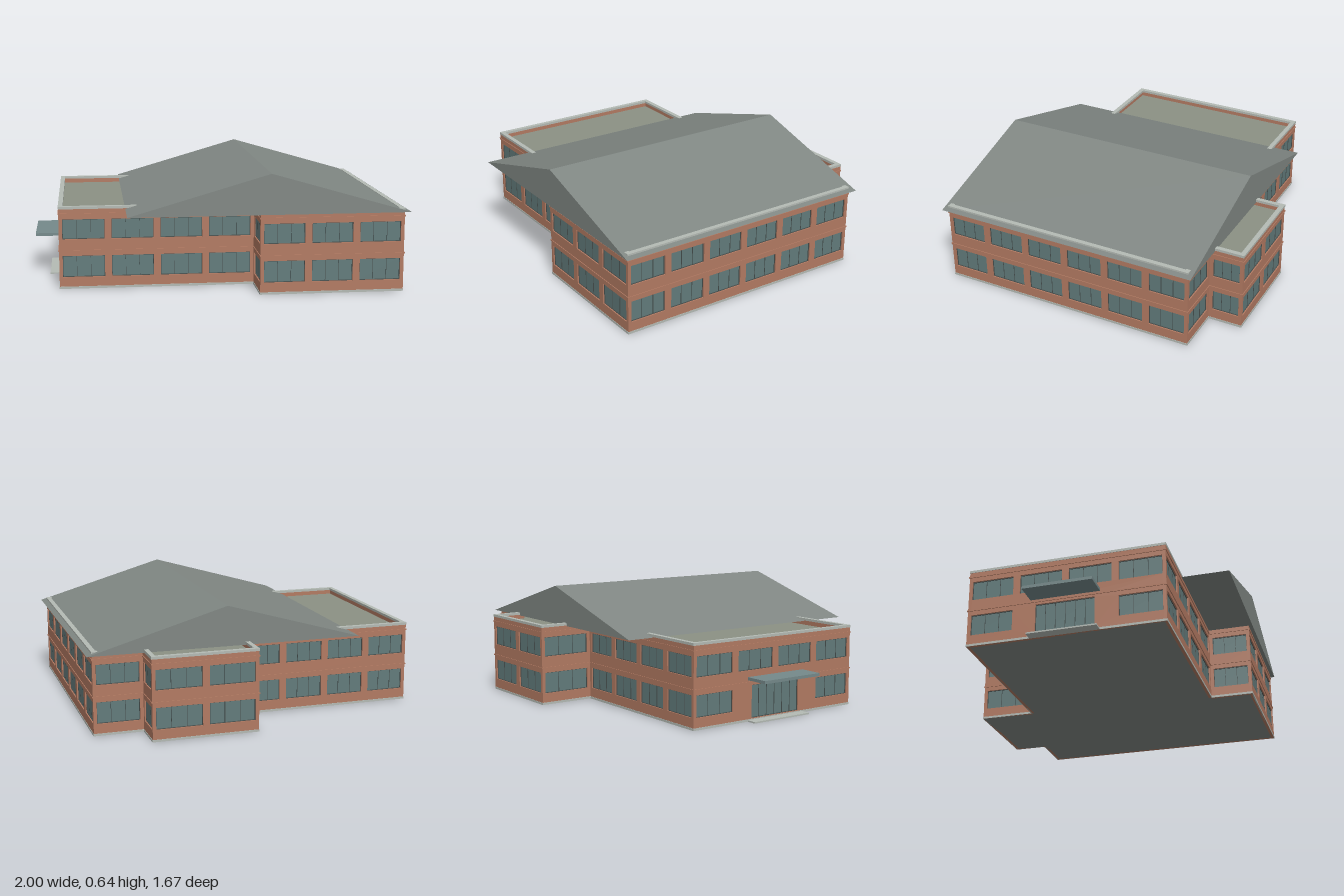
import * as THREE from 'three';

const material = (color) => new THREE.MeshStandardMaterial({ color });
const brick = material(0xb27a62);
const glass = material(0x627b7b);
const frame = material(0x47504f);
const trim = material(0xb4bab4);
const roofing = material(0x808783);
const deck = material(0x8b9184);
const canopyMetal = material(0x75898a);

// Footprint corners (x, z), walked with the outside on the right
const footprint = [
  [-0.86, 0.537], [0.18, 0.537], [0.18, 0.773], [0.942, 0.773], [0.942, -0.655],
  [0.679, -0.655], [0.679, -0.84], [0.114, -0.84], [0.114, -0.533], [-0.86, -0.533],
];

const WALL_TOP = 0.43;
const THICK = 0.016;
const RECESS = 0.011;
const FLOORS = [[0.063, 0.178], [0.268, 0.375]];

function edge(i) {
  const n = footprint.length;
  const a = footprint[(i + n) % n];
  const b = footprint[(i + 1) % n];
  const dx = b[0] - a[0], dz = b[1] - a[1];
  const length = Math.hypot(dx, dz);
  return { a, b, length, nx: -dz / length, nz: dx / length };
}

// Footprint pushed outward by d, as points for a shape lying on the ground
function outline(d) {
  return footprint.map(([x, z], i) => {
    const p = edge(i - 1), q = edge(i);
    return new THREE.Vector2(x + d * (p.nx + q.nx), -(z + d * (p.nz + q.nz)));
  });
}

function addMesh(parent, name, geometry, mat) {
  const mesh = new THREE.Mesh(geometry, mat);
  mesh.name = name;
  parent.add(mesh);
  return mesh;
}

function addBox(parent, name, mat, x0, x1, y0, y1, z0, z1) {
  const mesh = addMesh(parent, name, new THREE.BoxGeometry(x1 - x0, y1 - y0, z1 - z0), mat);
  mesh.position.set((x0 + x1) / 2, (y0 + y1) / 2, (z0 + z1) / 2);
  return mesh;
}

// Slab following the footprint; with an inner offset it becomes a ring
function addLayer(parent, name, mat, y0, y1, outer, inner) {
  const shape = new THREE.Shape(outline(outer));
  if (inner !== undefined) shape.holes.push(new THREE.Path(outline(inner)));
  const geometry = new THREE.ExtrudeGeometry(shape, { depth: y1 - y0, bevelEnabled: false });
  geometry.rotateX(-Math.PI / 2);
  addMesh(parent, name, geometry, mat).position.y = y0;
}

function rectangle(Kind, x0, x1, y0, y1) {
  return new Kind([[x0, y0], [x1, y0], [x1, y1], [x0, y1]].map((p) => new THREE.Vector2(...p)));
}

// Glazing set back in an opening, with a frame and evenly spaced mullions
function addWindow(parent, name, [x0, x1, y0, y1], panes) {
  const unit = new THREE.Group();
  unit.name = name;
  const t = 0.003;
  addBox(unit, 'glass', glass, x0, x1, y0, y1, -THICK, -RECESS);
  const border = rectangle(THREE.Shape, x0, x1, y0, y1);
  border.holes.push(rectangle(THREE.Path, x0 + t, x1 - t, y0 + t, y1 - t));
  const geometry = new THREE.ExtrudeGeometry(border, { depth: 0.004, bevelEnabled: false });
  addMesh(unit, 'frame', geometry, frame).position.z = -RECESS;
  for (let i = 1; i < panes; i++) {
    const x = x0 + ((x1 - x0) * i) / panes;
    addBox(unit, 'mullion', frame, x - 0.001, x + 0.001, y0, y1, -RECESS, -RECESS + 0.003);
  }
  parent.add(unit);
}

// One wall with two storeys of windows; the entrance wall has doors in the middle
function buildWall(i) {
  const { a, b, length, nx, nz } = edge(i);
  const wall = new THREE.Group();
  wall.name = 'facade';
  wall.position.set((a[0] + b[0]) / 2, 0, (a[1] + b[1]) / 2);
  wall.rotation.y = Math.atan2(nx, nz);

  const bays = Math.max(1, Math.round(length / 0.255));
  const pitch = length / bays;
  const isEntrance = i === footprint.length - 1;
  const openings = [];
  FLOORS.forEach(([y0, y1], floor) => {
    for (let k = 0; k < bays; k++) {
      if (isEntrance && floor === 0 && (k === 1 || k === 2)) continue;
      const x = -length / 2 + k * pitch;
      openings.push({ name: 'window', box: [x + 0.0185, x + pitch - 0.0185, y0, y1], panes: 3 });
    }
  });
  if (isEntrance) openings.push({ name: 'entranceDoors', box: [-0.16, 0.16, 0.015, 0.19], panes: 6 });

  const shape = rectangle(THREE.Shape, -length / 2, length / 2, 0, WALL_TOP);
  for (const o of openings) {
    shape.holes.push(rectangle(THREE.Path, ...o.box));
    addWindow(wall, o.name, o.box, o.panes);
  }
  const geometry = new THREE.ExtrudeGeometry(shape, { depth: THICK, bevelEnabled: false });
  addMesh(wall, 'brickWall', geometry, brick).position.z = -THICK;
  return wall;
}

export function createModel() {
  const model = new THREE.Group();
  model.name = 'building';
  const body = new THREE.Group();
  body.name = 'body';
  body.rotation.y = -0.037;
  model.add(body);

  // Walls, ground slab and flat roof behind the parapet
  footprint.forEach((_, i) => body.add(buildWall(i)));
  addLayer(body, 'groundSlab', roofing, 0, 0.005, -0.002);
  addLayer(body, 'flatRoof', deck, 0.395, 0.405, -0.01);

  // Horizontal bands around the walls
  addLayer(body, 'plinth', trim, 0, 0.012, 0.002, -0.005);
  addLayer(body, 'stringCourse', brick, 0.202, 0.209, 0.004, -0.005);
  addLayer(body, 'cornice', brick, 0.4, 0.407, 0.004, -0.005);
  addLayer(body, 'coping', trim, WALL_TOP, 0.4435, 0.002, -0.023);

  // Gabled main roof
  const gable = new THREE.Shape([
    new THREE.Vector2(-0.508, 0.426),
    new THREE.Vector2(0.973, 0.426),
    new THREE.Vector2(0.2325, 0.64),
  ]);
  const roof = new THREE.ExtrudeGeometry(gable, { depth: 1.477, bevelEnabled: false });
  addMesh(body, 'gabledRoof', roof, roofing).position.z = -0.682;

  // Entrance canopy and doorstep
  addBox(body, 'canopy', canopyMetal, -0.994, -0.855, 0.218, 0.234, -0.185, 0.19);
  addBox(body, 'doorstep', trim, -0.918, -0.858, 0, 0.008, -0.185, 0.19);

  return model;
}
